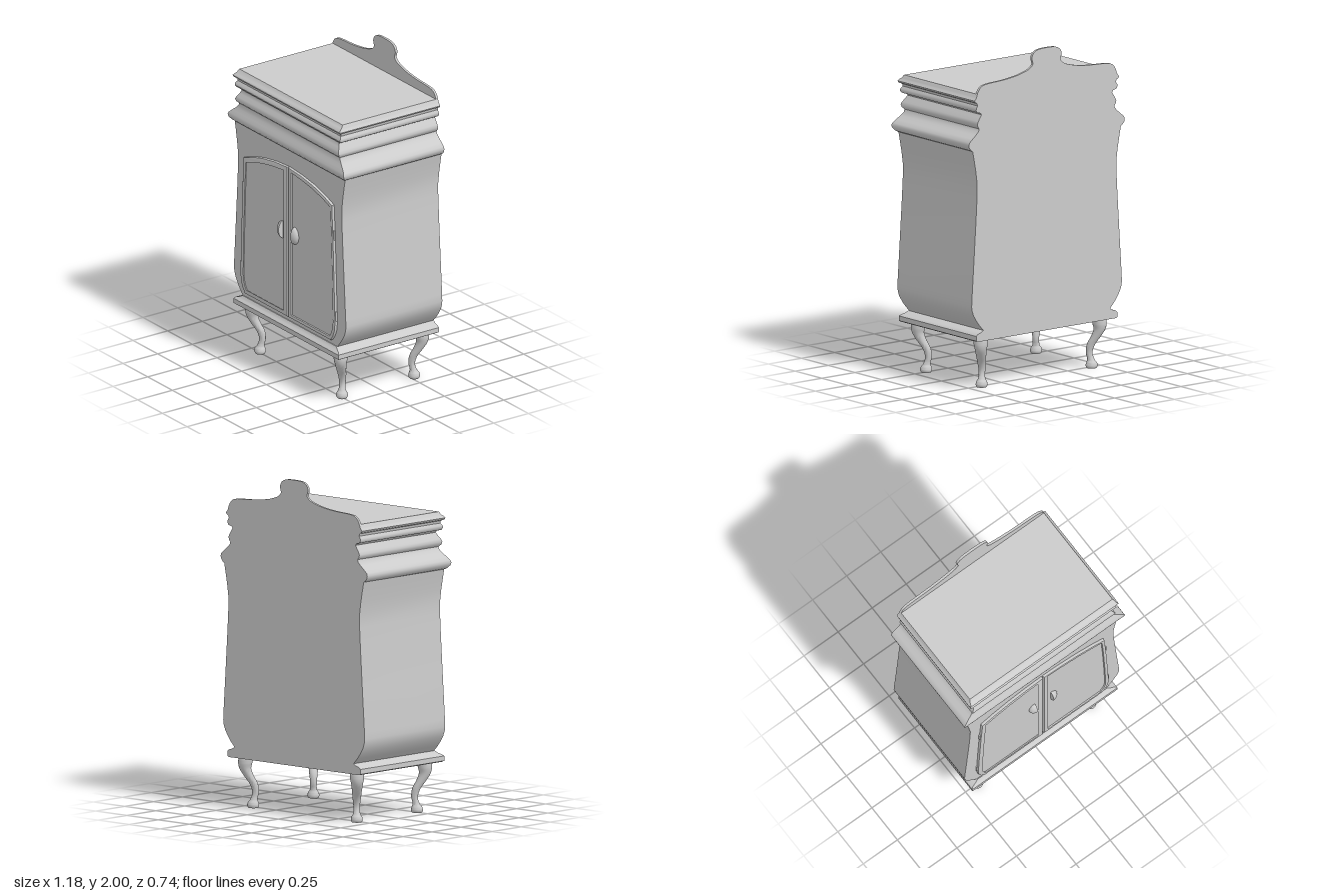
import * as THREE from 'three';
import { toCreasedNormals } from 'three/addons/utils/BufferGeometryUtils.js';

const BACK = -0.365;

function createMaterial() {
  return new THREE.MeshStandardMaterial({ color: 0xcccccc, side: THREE.DoubleSide });
}

// Rectangular case lofted through levels [y, half width, front z], flat at the back
function caseGeometry(levels) {
  const pos = [], idx = [];
  for (const [y, w, f] of levels) pos.push(-w, y, f, w, y, f, w, y, BACK, -w, y, BACK);
  for (let i = 0; i < levels.length - 1; i++) {
    for (let k = 0; k < 4; k++) {
      const a = i * 4 + k, b = i * 4 + (k + 1) % 4;
      idx.push(a, b, b + 4, a, b + 4, a + 4);
    }
  }
  const t = (levels.length - 1) * 4;
  idx.push(0, 2, 1, 0, 3, 2, t, t + 1, t + 2, t, t + 2, t + 3);
  const g = new THREE.BufferGeometry();
  g.setAttribute('position', new THREE.Float32BufferAttribute(pos, 3));
  g.setIndex(idx);
  return toCreasedNormals(g, 0.75);
}

const v2 = (pts, s = 1) => pts.map(([x, y]) => new THREE.Vector2(x * s, y));

function extrude(shape, depth, z, bevel = 0) {
  const g = new THREE.ExtrudeGeometry(shape, {
    depth, curveSegments: 10, bevelEnabled: bevel > 0,
    bevelThickness: bevel, bevelSize: bevel, bevelOffset: -bevel, bevelSegments: 2,
  });
  g.translate(0, 0, z);
  return g;
}

// Cabriole leg: a cylinder whose rings follow a curved line leaning to its corner
function legGeometry(sx, sz) {
  // offset outward, height, radius
  const keys = [
    [0.0, 0.0, 0.03], [0.0, 0.012, 0.036], [0.0, 0.03, 0.033], [-0.003, 0.05, 0.022],
    [-0.01, 0.09, 0.02], [-0.003, 0.14, 0.025], [0.018, 0.19, 0.03],
    [0.033, 0.235, 0.036], [0.033, 0.27, 0.043], [0.03, 0.305, 0.043],
  ];
  const curve = new THREE.CatmullRomCurve3(keys.map(k => new THREE.Vector3(...k)));
  const g = new THREE.CylinderGeometry(1, 1, 1, 20, 36);
  const p = g.attributes.position;
  for (let i = 0; i < p.count; i++) {
    const c = curve.getPoint(THREE.MathUtils.clamp(p.getY(i) + 0.5, 0, 1));
    p.setXYZ(i, sx * (0.415 + c.x) + p.getX(i) * c.z, Math.max(0, c.y),
      -0.01 + sz * (0.26 + c.x) + p.getZ(i) * c.z * 0.95);
  }
  return toCreasedNormals(g, 0.9);
}

export function createModel() {
  const group = new THREE.Group();
  const material = createMaterial();
  const add = (name, geometry, parent = group) => {
    const mesh = new THREE.Mesh(geometry, material);
    mesh.name = name;
    parent.add(mesh);
    return mesh;
  };

  // Base moulding
  add('baseMoulding', caseGeometry([
    [0.3, 0.522, 0.35], [0.306, 0.532, 0.36], [0.335, 0.532, 0.36], [0.345, 0.522, 0.35],
    [0.352, 0.497, 0.342], [0.366, 0.475, 0.335],
  ]));

  // Bombe cabinet body, flaring again under the cornice
  add('cabinetBody', caseGeometry([
    [0.36, 0.475, 0.33], [0.375, 0.488, 0.33], [0.395, 0.507, 0.33], [0.425, 0.53, 0.33],
    [0.46, 0.552, 0.33], [0.49, 0.563, 0.33], [0.515, 0.567, 0.33], [0.56, 0.565, 0.33],
    [0.8, 0.549, 0.33], [1.05, 0.533, 0.33], [1.18, 0.526, 0.33], [1.25, 0.525, 0.33],
    [1.33, 0.536, 0.33], [1.4, 0.549, 0.33], [1.455, 0.56, 0.33],
  ]));

  // Stepped cornice ending in the flat top
  add('cornice', caseGeometry([
    [1.45, 0.558, 0.33], [1.458, 0.572, 0.343], [1.475, 0.585, 0.357], [1.49, 0.588, 0.361],
    [1.505, 0.583, 0.357], [1.525, 0.56, 0.349], [1.545, 0.535, 0.34], [1.565, 0.515, 0.334],
    [1.58, 0.51, 0.334], [1.592, 0.52, 0.347], [1.608, 0.525, 0.352], [1.625, 0.517, 0.347],
    [1.645, 0.504, 0.335], [1.663, 0.493, 0.327], [1.673, 0.5, 0.328], [1.68, 0.525, 0.342],
    [1.692, 0.533, 0.349], [1.705, 0.532, 0.346], [1.72, 0.522, 0.335], [1.735, 0.526, 0.337],
    [1.742, 0.54, 0.352], [1.752, 0.545, 0.356], [1.763, 0.536, 0.35],
    [1.772, 0.53, 0.335], [1.787, 0.525, 0.325], [1.79, 0.523, 0.323],
  ]));

  // Scrolled crest board along the back
  const half = [
    [0.505, 1.822], [0.48, 1.837], [0.43, 1.844], [0.32, 1.85], [0.22, 1.863],
    [0.14, 1.885], [0.108, 1.908], [0.106, 1.925], [0.112, 1.95], [0.1, 1.978], [0.065, 1.996],
  ];
  const crest = new THREE.Shape();
  crest.moveTo(0.523, 1.785);
  crest.lineTo(0.523, 1.795);
  crest.splineThru(v2([...half, [0, 2.0], ...half.map(([x, y]) => [-x, y]).reverse(), [-0.523, 1.795]]));
  crest.lineTo(-0.523, 1.785);
  crest.closePath();
  add('crestBoard', toCreasedNormals(extrude(crest, 0.015, BACK), 0.6));

  // Pair of arched doors
  const outer = [
    [0.004, 0.395], [0.435, 0.395], [0.458, 0.425], [0.474, 0.465], [0.48, 0.51],
    [0.472, 0.75], [0.46, 1.05], [0.448, 1.257], [0.36, 1.29], [0.25, 1.319], [0.13, 1.338], [0.004, 1.347],
  ];
  const inner = [
    [0.035, 0.417], [0.42, 0.417], [0.436, 0.44], [0.45, 0.475], [0.455, 0.515],
    [0.449, 0.75], [0.438, 1.05], [0.428, 1.238], [0.35, 1.266], [0.25, 1.292], [0.13, 1.312], [0.035, 1.321],
  ];
  for (const s of [1, -1]) {
    const door = new THREE.Group();
    door.name = s > 0 ? 'leftDoor' : 'rightDoor';
    group.add(door);

    const frame = new THREE.Shape(v2(outer, s));
    frame.holes.push(new THREE.Path(v2(inner, s)));
    add('doorFrame', toCreasedNormals(extrude(frame, 0.012, 0.33, 0.006), 0.5), door);
    add('doorPanel', extrude(new THREE.Shape(v2(inner, s)), 0.012, 0.326), door);

    // Half-round pull with its flat side towards the centre
    const pull = new THREE.SphereGeometry(1, 16, 16, s > 0 ? Math.PI / 2 : -Math.PI / 2, Math.PI);
    pull.scale(0.042, 0.054, 0.032);
    pull.translate(s * 0.059, 0.93, 0.338);
    add('doorPull', pull, door);
    const cap = new THREE.CircleGeometry(1, 24);
    cap.scale(0.032, 0.054, 1);
    cap.rotateY(-s * Math.PI / 2);
    cap.translate(s * 0.059, 0.93, 0.338);
    add('doorPullCap', cap, door);

    // Hinges on the outer stile
    for (const [x, y] of [[0.461, 1.07], [0.48, 0.56]]) {
      const hinge = new THREE.CylinderGeometry(0.006, 0.006, 0.06, 10);
      hinge.translate(s * x, y, 0.336);
      add('hinge', hinge, door);
    }
  }

  // Four cabriole legs
  for (const sx of [1, -1]) {
    for (const sz of [1, -1]) {
      add((sz > 0 ? 'front' : 'back') + (sx > 0 ? 'Left' : 'Right') + 'Leg', legGeometry(sx, sz));
    }
  }
  return group;
}
